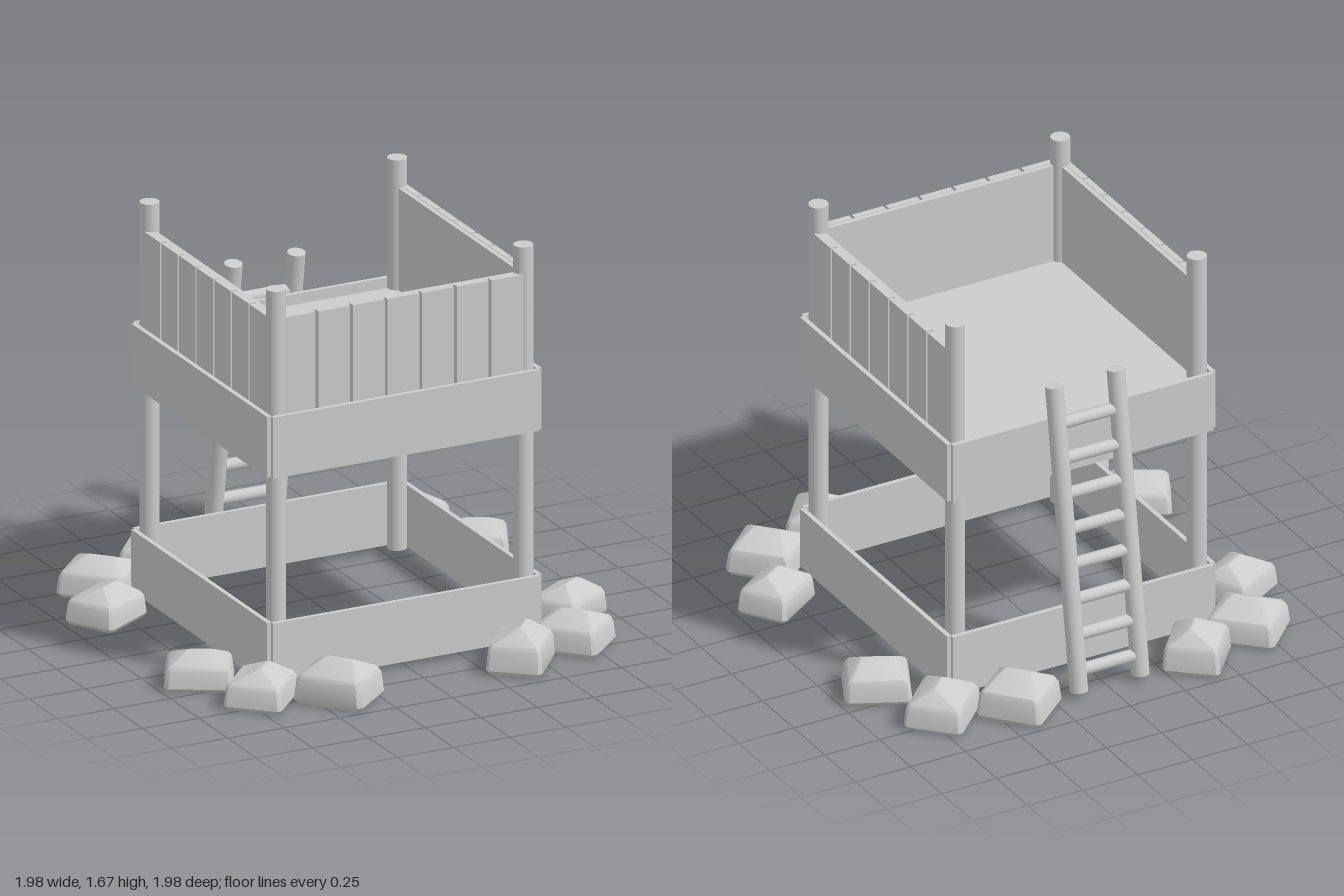
import * as THREE from 'three';
import { toCreasedNormals } from 'three/addons/utils/BufferGeometryUtils.js';

const material = new THREE.MeshStandardMaterial({ color: 0xcccccc });

function add(parent, name, geometry, x = 0, y = 0, z = 0) {
  const mesh = new THREE.Mesh(geometry, material);
  mesh.name = name;
  mesh.position.set(x, y, z);
  parent.add(mesh);
  return mesh;
}

// Box given by its bottom and top heights
function board(parent, name, w, y0, y1, d, x, z) {
  return add(parent, name, new THREE.BoxGeometry(w, y1 - y0, d), x, (y0 + y1) / 2, z);
}

// One wall side facing +z, turned into place by the caller
function wallSide(walled) {
  const side = new THREE.Group();
  board(side, 'lowerFrameBoard', 1.185, 0.027, 0.288, 0.02, 0, 0.6);
  board(side, 'upperFrameBoard', 1.185, 0.902, 1.16, 0.02, 0, 0.6);
  if (walled) {
    board(side, 'wallPanel', 1.08, 1.13, 1.563, 0.02, 0, 0.547);
    for (let i = 0; i < 7; i++) {
      board(side, 'wallPlank', 0.142, 1.13, 1.565, 0.028, (i - 3) * 0.154, 0.571);
    }
  }
  return side;
}

// Unit boulder: stacked bevelled squares closing into an off-centre ridge
function rockGeometry() {
  const outline = [
    [0.5, 0.44], [0.44, 0.5], [-0.44, 0.5], [-0.5, 0.44],
    [-0.5, -0.44], [-0.44, -0.5], [0.44, -0.5], [0.5, -0.44],
  ];
  // height, x scale, z scale, x shift, z shift
  const levels = [
    [0, 0.94, 0.94, 0, 0], [0.1, 1.02, 1.02, 0, 0], [0.57, 0.95, 0.96, 0, 0],
    [0.68, 0.87, 0.88, 0, 0], [0.97, 0.42, 0.1, 0.03, 0.05], [1, 0.3, 0.03, 0.03, 0.05],
  ];
  const n = outline.length;
  const points = [];
  const index = [];
  for (const [y, sx, sz, dx, dz] of levels) {
    for (const [x, z] of outline) points.push(x * sx + dx, y, z * sz + dz);
  }
  for (let l = 0; l < levels.length - 1; l++) {
    for (let i = 0; i < n; i++) {
      const a = l * n + i, b = l * n + (i + 1) % n;
      index.push(a, b + n, b, a, a + n, b + n);
    }
  }
  const top = (levels.length - 1) * n;
  for (let i = 1; i < n - 1; i++) {
    index.push(0, i, i + 1);
    index.push(top, top + i + 1, top + i);
  }
  const geometry = new THREE.BufferGeometry();
  geometry.setAttribute('position', new THREE.Float32BufferAttribute(points, 3));
  geometry.setIndex(index);
  return geometry;
}

// Ladder leaning on the open back side
function buildLadder() {
  const ladder = new THREE.Group();
  ladder.name = 'ladder';
  const top = new THREE.Vector3(0, 1.32, -0.633);
  const foot = new THREE.Vector3(0, 0.03, -0.832);
  const lean = Math.atan2(top.z - foot.z, top.y - foot.y);
  const length = top.distanceTo(foot);
  const middle = top.clone().add(foot).multiplyScalar(0.5);
  for (const s of [-1, 1]) {
    const rail = add(ladder, 'ladderRail', new THREE.CylinderGeometry(0.037, 0.037, length, 24),
      s * 0.14, middle.y, middle.z);
    rail.rotation.x = lean;
  }
  for (let i = 0; i < 8; i++) {
    const y = 0.115 + i * 0.1487;
    const z = foot.z + (y - foot.y) * Math.tan(lean);
    const rung = add(ladder, 'ladderRung', new THREE.CylinderGeometry(0.026, 0.026, 0.26, 16), 0, y, z);
    rung.rotation.z = Math.PI / 2;
  }
  return ladder;
}

export function createModel() {
  const model = new THREE.Group();
  const tower = new THREE.Group();
  tower.name = 'tower';
  tower.position.set(-0.004, 0, -0.003);
  model.add(tower);

  // Corner posts
  for (const x of [-0.55, 0.55]) {
    for (const z of [-0.55, 0.55]) {
      add(tower, 'cornerPost', new THREE.CylinderGeometry(0.04, 0.04, 1.653, 24), x, 0.8535, z);
    }
  }

  // Deck
  board(tower, 'deck', 1.11, 1.11, 1.13, 1.11, 0, 0);

  // Front, left, back (open) and right sides
  ['frontSide', 'leftSide', 'backSide', 'rightSide'].forEach((name, i) => {
    const side = wallSide(name !== 'backSide');
    side.name = name;
    side.rotation.y = i * Math.PI / 2;
    tower.add(side);
  });

  model.add(buildLadder());

  // Three boulders round each corner: x, z, width, depth, turn in degrees, height
  const rocks = [
    [-0.695, -0.71, 0.285, 0.25, 45, 0.155],
    [-0.405, -0.815, 0.23, 0.255, 40, 0.175],
    [-0.82, -0.41, 0.225, 0.265, 60, 0.15],
    [0.40, -0.81, 0.27, 0.25, 50, 0.175],
    [0.695, -0.715, 0.24, 0.28, 46, 0.16],
    [0.82, -0.41, 0.265, 0.225, 26, 0.155],
    [-0.82, 0.40, 0.27, 0.22, 28, 0.15],
    [-0.695, 0.695, 0.235, 0.265, 43, 0.155],
    [-0.405, 0.805, 0.29, 0.245, 50, 0.18],
    [0.405, 0.80, 0.225, 0.27, 39, 0.18],
    [0.695, 0.695, 0.27, 0.245, 47, 0.16],
    [0.82, 0.40, 0.215, 0.27, 57, 0.155],
  ];
  const boulders = new THREE.Group();
  boulders.name = 'boulders';
  for (const [x, z, w, d, turn, h] of rocks) {
    const geometry = rockGeometry();
    // The ridge runs along the longer side
    if (d > w) geometry.rotateY(Math.PI / 2);
    geometry.scale(w, h, d);
    const rock = add(boulders, 'boulder', toCreasedNormals(geometry, 0.6), x, 0.005, z);
    rock.rotation.y = -THREE.MathUtils.degToRad(turn);
  }
  model.add(boulders);
  return model;
}
